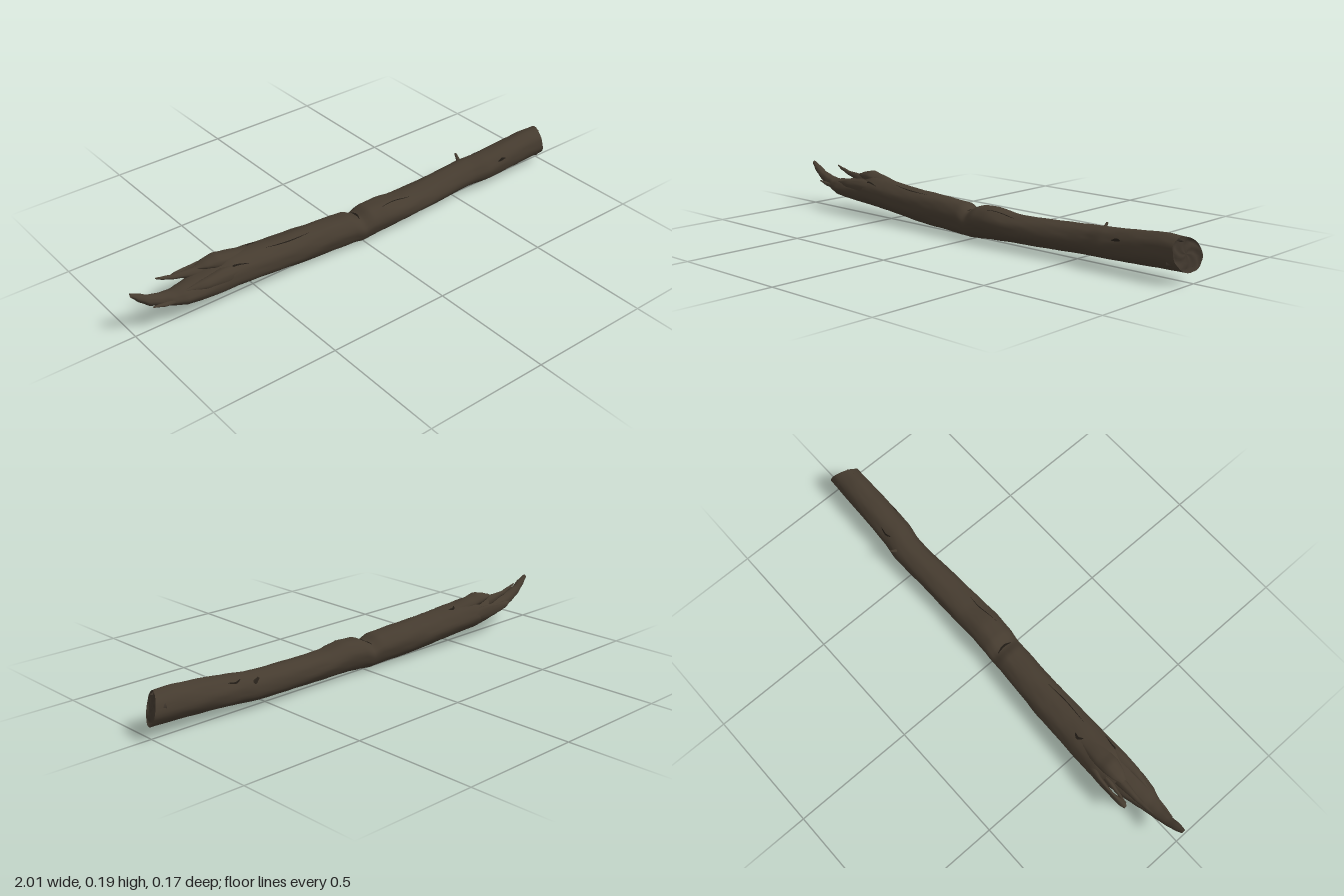
import * as THREE from 'three';

const SIDES = 32;

// Body cross-sections: x, top y, bottom y, back z, front z
const BODY = [
  [-1, 0.19, 0.172, -0.008, 0.01], [-0.97, 0.175, 0.138, -0.015, 0.018],
  [-0.93, 0.15, 0.105, -0.02, 0.02], [-0.88, 0.135, 0.085, -0.028, 0.026],
  [-0.84, 0.13, 0.072, -0.035, 0.042], [-0.8, 0.135, 0.062, -0.045, 0.055],
  [-0.74, 0.142, 0.055, -0.06, 0.062], [-0.66, 0.15, 0.047, -0.074, 0.065],
  [-0.6, 0.166, 0.042, -0.088, 0.066], [-0.5, 0.16, 0.035, -0.085, 0.066],
  [-0.4, 0.152, 0.026, -0.08, 0.066], [-0.3, 0.147, 0.017, -0.077, 0.067],
  [-0.2, 0.143, 0.01, -0.07, 0.066], [-0.06, 0.136, 0.005, -0.061, 0.071],
  [-0.015, 0.114, 0.003, -0.058, 0.075], [0.03, 0.138, 0.007, -0.058, 0.079],
  [0.1, 0.141, 0.012, -0.056, 0.082], [0.2, 0.127, 0.017, -0.057, 0.08],
  [0.3, 0.127, 0.018, -0.057, 0.076], [0.4, 0.13, 0.02, -0.058, 0.07],
  [0.5, 0.134, 0.023, -0.061, 0.062], [0.57, 0.138, 0.026, -0.063, 0.063],
  [0.65, 0.145, 0.029, -0.053, 0.075], [0.8, 0.159, 0.036, -0.046, 0.076],
  [0.9, 0.167, 0.04, -0.043, 0.074], [0.985, 0.165, 0.042, -0.039, 0.073],
];

const smooth = THREE.MathUtils.smoothstep;

// Interpolated station at x
function sample(stations, x) {
  let i = 0;
  while (i < stations.length - 2 && x > stations[i + 1][0]) i++;
  const p = stations[i], q = stations[i + 1];
  const t = smooth(x, p[0], q[0]) * 0.5 + 0.5 * (x - p[0]) / (q[0] - p[0]);
  return p.map((v, k) => v + (q[k] - v) * t);
}

// Long uneven ridges in the wood
function ridges(x, a) {
  return 0.022 * Math.sin(3 * a + 5 * x) + 0.016 * Math.sin(7 * a - 9 * x + Math.sin(13 * x))
    + 0.012 * Math.sin(11 * a + 31 * x) * Math.sin(23 * x + 2 * a);
}

// Point on a lofted surface; scale 1 lies on the surface
function surfacePoint(stations, x, a, scale = 1) {
  const [, top, bottom, back, front] = sample(stations, x);
  const r = scale * (0.985 + ridges(x, a));
  return new THREE.Vector3(x,
    (top + bottom) / 2 + (top - bottom) / 2 * r * Math.sin(a),
    (front + back) / 2 + (front - back) / 2 * r * Math.cos(a));
}

// Slanted break at the thick end
function slant(p) {
  const w = smooth(p.x, 0.88, 0.985);
  p.x += w * (-0.022 * (p.z - 0.015) / 0.055 - 0.015 * (p.y - 0.1) / 0.06);
  return p;
}

function toGeometry(points, index) {
  const g = new THREE.BufferGeometry().setFromPoints(points);
  g.setIndex(index);
  g.computeVertexNormals();
  return g;
}

// Faces between successive rings of points
function ringFaces(rings) {
  const index = [];
  for (let i = 0; i < rings - 1; i++) for (let j = 0; j < SIDES; j++) {
    const a = i * SIDES + j, b = i * SIDES + (j + 1) % SIDES;
    index.push(a, a + SIDES, b, b, a + SIDES, b + SIDES);
  }
  return index;
}

function loft(stations, rings, shape = (p) => p) {
  const points = [], x0 = stations[0][0], x1 = stations[stations.length - 1][0];
  for (let i = 0; i < rings; i++) for (let j = 0; j < SIDES; j++) {
    const x = x0 + (x1 - x0) * i / (rings - 1);
    points.push(shape(surfacePoint(stations, x, j / SIDES * Math.PI * 2)));
  }
  return toGeometry(points, ringFaces(rings));
}

// Rough end-grain face, from the rim to the centre
function endFace() {
  const points = [], scales = [1, 0.93, 0.75, 0.5, 0.25, 0.001];
  scales.forEach((s, i) => {
    for (let j = 0; j < SIDES; j++) {
      const a = j / SIDES * Math.PI * 2;
      const p = slant(surfacePoint(BODY, 0.985, a, s));
      if (i) p.x -= 0.006 + 0.005 * s * Math.sin(5 * a + i * 2);
      points.push(p);
    }
  });
  return toGeometry(points, ringFaces(scales.length));
}

// Thin dark strip following the trunk surface, path of [x, angle]
function crack(path, width) {
  const curve = new THREE.CatmullRomCurve3(path.map(([x, a]) => new THREE.Vector3(x, a, 0)));
  const points = [], index = [], n = 16;
  for (let i = 0; i <= n; i++) {
    const c = curve.getPoint(i / n), t = curve.getTangent(i / n);
    const d = new THREE.Vector2(-t.y * 0.065, t.x).normalize();
    const w = width * Math.sin(Math.PI * (0.04 + 0.92 * i / n));
    for (const s of [-1, 1])
      points.push(slant(surfacePoint(BODY, c.x + s * w * d.x, c.y + s * w * d.y / 0.065, 1.02)));
    if (i < n) index.push(2 * i, 2 * i + 2, 2 * i + 1, 2 * i + 1, 2 * i + 2, 2 * i + 3);
  }
  return toGeometry(points, index);
}

export function createModel() {
  const bark = new THREE.MeshStandardMaterial({ color: 0x453b2f, side: THREE.DoubleSide });
  bark.name = 'bark';
  const wood = new THREE.MeshStandardMaterial({ color: 0x40372d, side: THREE.DoubleSide });
  wood.name = 'broken wood';
  const dark = new THREE.MeshStandardMaterial({ color: 0x1f1a14, side: THREE.DoubleSide });
  dark.name = 'dark crack';

  const model = new THREE.Group();
  model.name = 'brokenLog';
  const add = (name, geometry, material) => {
    const mesh = new THREE.Mesh(geometry, material);
    mesh.name = name;
    model.add(mesh);
    return mesh;
  };

  add('trunk', loft(BODY, 180, slant), bark);
  add('endGrain', endFace(), wood);

  // Splinters and bark flaps at the torn end
  const splinters = {
    upperSplinter: [[-0.88, 0.182, 0.176, -0.037, -0.033], [-0.85, 0.174, 0.16, -0.042, -0.028],
      [-0.8, 0.162, 0.142, -0.045, -0.025], [-0.7, 0.158, 0.11, -0.05, -0.01]],
    backSplinter: [[-0.79, 0.13, 0.122, -0.088, -0.075], [-0.77, 0.135, 0.105, -0.093, -0.066],
      [-0.72, 0.135, 0.095, -0.092, -0.076], [-0.65, 0.14, 0.085, -0.092, -0.07],
      [-0.56, 0.13, 0.07, -0.084, -0.03]],
    backHook: [[-0.78, 0.128, 0.112, -0.078, -0.066], [-0.73, 0.126, 0.112, -0.07, -0.058],
      [-0.66, 0.13, 0.1, -0.068, -0.04]],
    topFlap: [[-0.72, 0.165, 0.155, -0.04, -0.015], [-0.68, 0.178, 0.145, -0.055, 0.005],
      [-0.64, 0.186, 0.13, -0.06, 0.015], [-0.6, 0.176, 0.13, -0.06, 0.015],
      [-0.5, 0.158, 0.12, -0.05, 0.015]],
    frontFlap: [[-0.8, 0.13, 0.12, 0.025, 0.035], [-0.72, 0.145, 0.1, 0.015, 0.058],
      [-0.64, 0.152, 0.085, 0, 0.062], [-0.54, 0.145, 0.08, 0, 0.058]],
    sideSliver: [[-0.93, 0.115, 0.109, 0.022, 0.028], [-0.88, 0.112, 0.095, 0.015, 0.037],
      [-0.8, 0.12, 0.08, 0, 0.045]],
  };
  for (const [name, stations] of Object.entries(splinters)) add(name, loft(stations, 20), bark);

  // Broken twig on the back
  const twig = add('twigStub', new THREE.CylinderGeometry(0.004, 0.009, 0.035, 8), bark);
  twig.position.set(0.58, 0.125, -0.058);
  twig.rotation.x = -0.7;

  // Jagged chips around the thick end
  [[0.965, 0.15, 0.03], [0.985, 0.06, 0.0], [0.96, 0.07, 0.055], [0.985, 0.12, -0.028]].forEach(([x, y, z], i) => {
    const chip = add('endChip', new THREE.ConeGeometry(0.014, 0.04, 5), wood);
    chip.position.set(x - 0.008, y, z);
    chip.rotation.set(i, 0, -Math.PI / 2);
  });

  // Cracks and knots
  const cracks = [
    [[[-0.7, 1.0], [-0.65, 0.75], [-0.6, 0.85], [-0.54, 0.7]], 0.004],
    [[[-0.72, 1.9], [-0.62, 2.1], [-0.55, 1.9]], 0.004],
    [[[-0.02, 1.1], [-0.012, 1.6], [-0.02, 2.2]], 0.004],
    [[[-0.45, 1.2], [-0.35, 1.1], [-0.25, 1.15]], 0.002],
    [[[0.08, 1.0], [0.17, 1.15], [0.23, 1.05]], 0.002],
    [[[0.7, 0.45], [0.72, 0.5], [0.74, 0.45]], 0.006],
    [[[0.63, 2.2], [0.66, 2.4], [0.69, 2.3]], 0.004],
    [[[-0.5, 1.8], [-0.48, 2.0], [-0.46, 1.9]], 0.005],
  ];
  for (const [path, width] of cracks) add('crack', crack(path, width), dark);
  return model;
}
